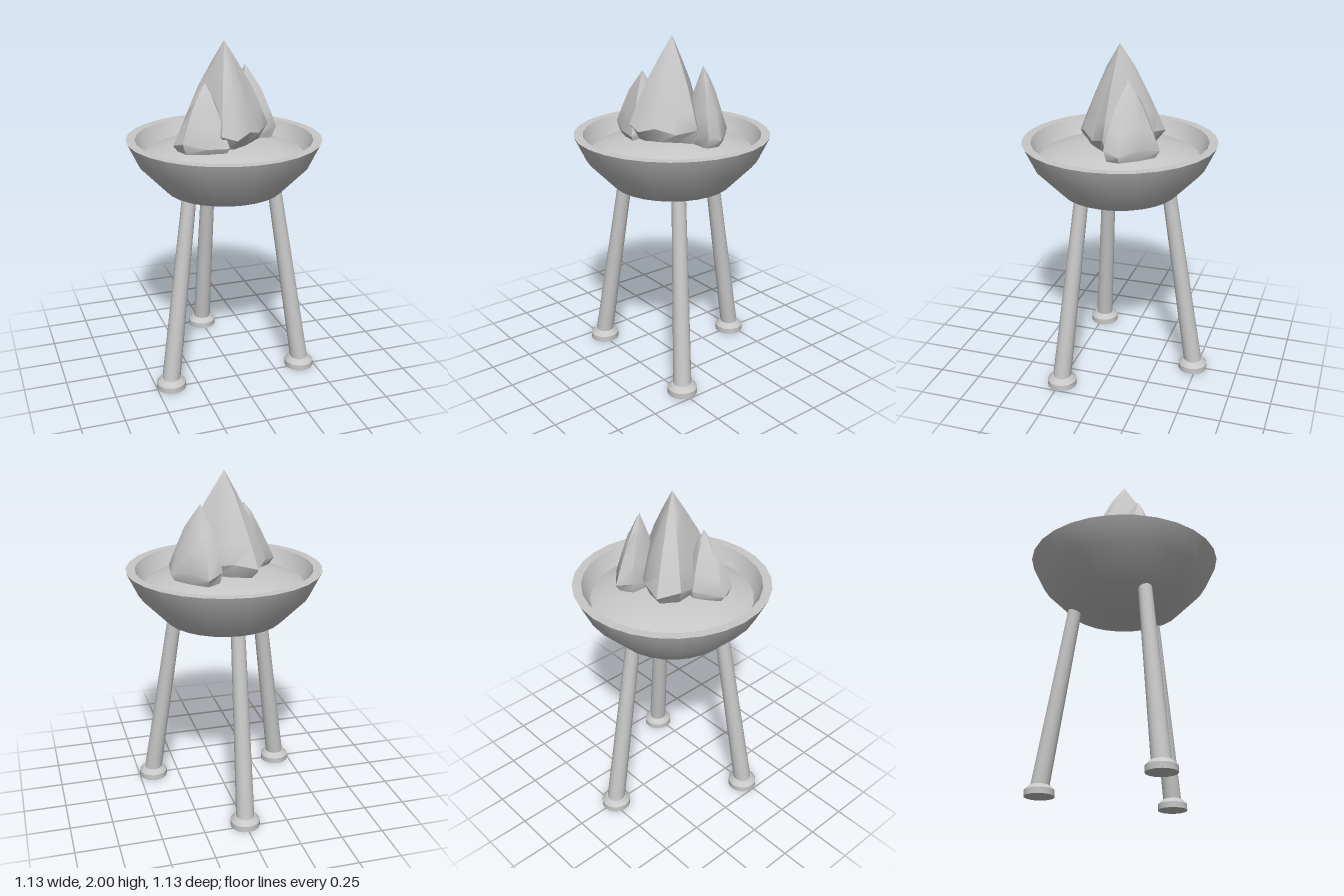
import * as THREE from 'three';
import { toCreasedNormals } from 'three/addons/utils/BufferGeometryUtils.js';

const grey = new THREE.MeshStandardMaterial({ color: 0xc8c8c8 });
grey.name = 'stone grey';

function add(parent, name, geometry) {
  const mesh = new THREE.Mesh(geometry, grey);
  mesh.name = name;
  parent.add(mesh);
  return mesh;
}

// Turned solid with smooth sides and sharp rims
function turned(profile, segments, crease = 0.7) {
  const points = profile.map(([r, y]) => new THREE.Vector2(r, y));
  return toCreasedNormals(new THREE.LatheGeometry(points, segments), crease);
}

// Faceted flame: an outline at the widest level, scaled toward the tip at each level.
// The outline runs counter-clockwise seen from above.
function flameGeometry(tip, outline, levels, floorY) {
  const [tx, ty, tz] = tip;
  const n = outline.length;
  const position = [];
  const index = [];
  levels.forEach(([t, s], k) => {
    outline.forEach(([x, z], i) => {
      // slight alternating wobble in height on the middle rings
      const wobble = k > 0 && k < 4 ? (i % 2 ? 0.015 : -0.015) : 0;
      position.push(tx + (x - tx) * s, floorY + (ty - floorY) * t + wobble, tz + (z - tz) * s);
    });
  });
  for (let k = 0; k < levels.length - 1; k++) {
    for (let i = 0; i < n; i++) {
      const j = (i + 1) % n;
      const a = k * n + i, b = k * n + j;
      index.push(a, b, b + n, a, b + n, a + n);
    }
  }
  const top = (levels.length - 1) * n;
  const apex = position.length / 3;
  position.push(tx, ty, tz, tx, floorY, tz);
  for (let i = 0; i < n; i++) {
    const j = (i + 1) % n;
    index.push(top + i, top + j, apex, j, i, apex + 1);
  }
  const g = new THREE.BufferGeometry();
  g.setAttribute('position', new THREE.Float32BufferAttribute(position, 3));
  g.setIndex(index);
  return toCreasedNormals(g, 0.75);
}

export function createModel() {
  const model = new THREE.Group();
  model.name = 'brazier';

  // Bowl with a flat rim and an inner wall
  add(model, 'bowl', turned([
    [0, 1.065], [0.14, 1.065], [0.345, 1.14], [0.5, 1.3], [0.567, 1.44],
    [0.515, 1.44], [0.455, 1.31], [0.31, 1.2], [0, 1.16],
  ], 28));

  // Gently domed bed under the flames
  add(model, 'emberBed', turned([
    [0.468, 1.345], [0.4, 1.375], [0.3, 1.405], [0.18, 1.425], [0, 1.432],
  ], 28));

  // Three splayed legs with round feet
  const up = new THREE.Vector3(0, 1, 0);
  for (const angle of [Math.PI / 3, -Math.PI / 3, Math.PI]) {
    const leg = new THREE.Group();
    leg.name = 'leg';
    const from = new THREE.Vector3(0, 0.03, 0.478);
    const to = new THREE.Vector3(0, 1.16, 0.297);
    const along = to.clone().sub(from);
    const shaft = add(leg, 'legShaft', new THREE.CylinderGeometry(0.041, 0.054, along.length(), 16));
    shaft.position.copy(from).add(to).multiplyScalar(0.5);
    shaft.quaternion.setFromUnitVectors(up, along.normalize());
    const foot = add(leg, 'foot', turned([
      [0, 0], [0.087, 0], [0.087, 0.035], [0.06, 0.062], [0, 0.062],
    ], 16));
    foot.position.z = 0.475;
    leg.rotation.y = angle;
    model.add(leg);
  }

  // Flames
  const flames = new THREE.Group();
  flames.name = 'flames';
  model.add(flames);

  add(flames, 'mainFlame', flameGeometry([0, 2, 0], [
    [0, 0.24], [0.09, 0.19], [0.18, 0.105], [0.26, 0.02], [0.12, -0.12],
    [0, -0.205], [-0.135, -0.235], [-0.21, -0.125], [-0.19, 0.02], [-0.09, 0.235],
  ], [[0, 0.8], [0.13, 1], [0.32, 0.82], [0.52, 0.62], [0.78, 0.31]], 1.42));

  const sideLevels = [[0, 0.86], [0.13, 1], [0.4, 0.75], [0.65, 0.5], [0.85, 0.24]];
  add(flames, 'rightFlame', flameGeometry([-0.145, 1.79, 0.1], [
    [-0.05, 0.25], [-0.02, 0.1], [-0.1, -0.02], [-0.2, -0.03],
    [-0.33, 0.09], [-0.3, 0.18], [-0.18, 0.225],
  ], sideLevels, 1.41));
  add(flames, 'leftFlame', flameGeometry([0.16, 1.84, -0.095], [
    [0.22, 0.02], [0.325, -0.005], [0.335, -0.09], [0.25, -0.2],
    [0.16, -0.28], [0.07, -0.235], [0.055, -0.14], [0.1, -0.02],
  ], sideLevels, 1.41));

  return model;
}
